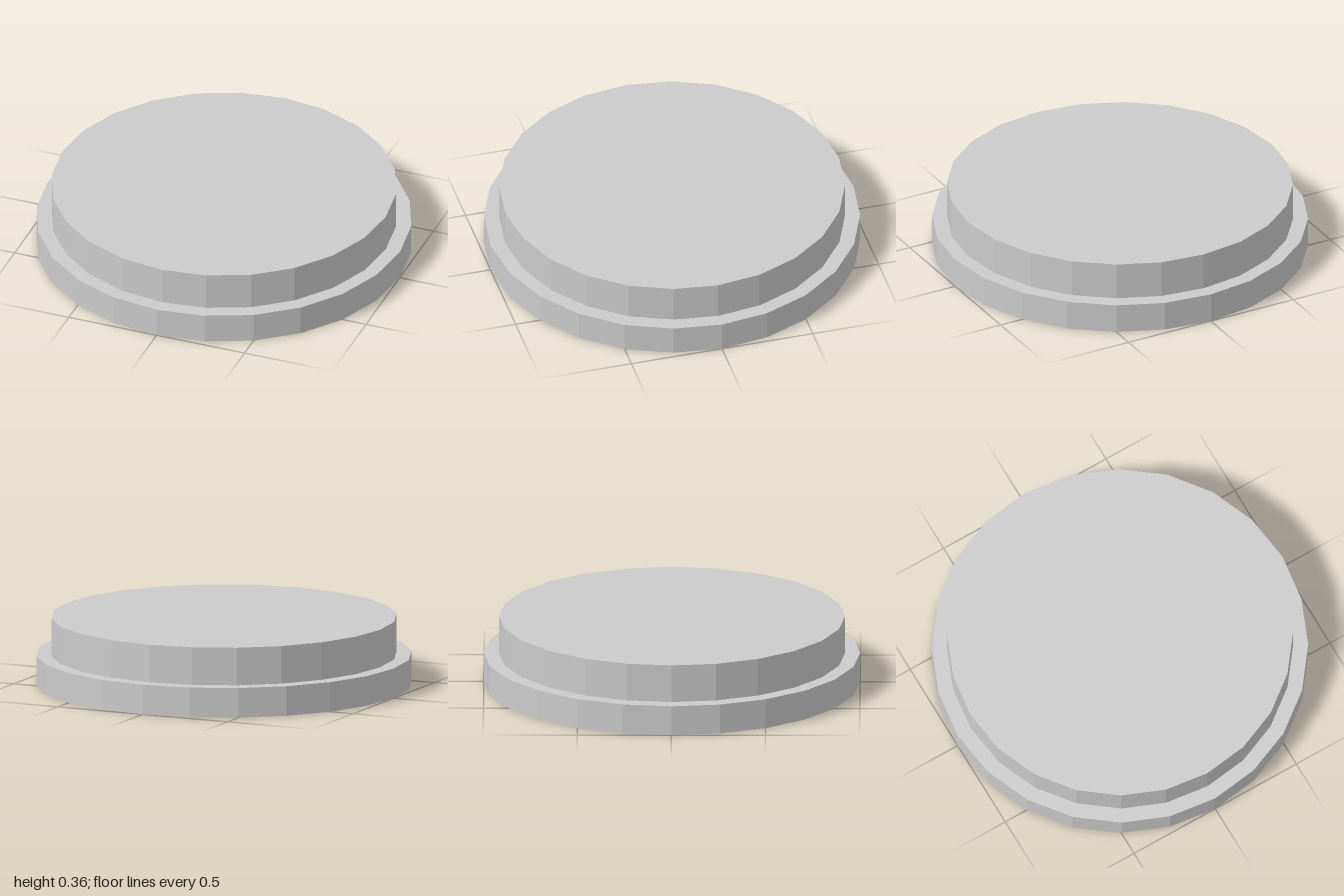
import * as THREE from 'three';

const SIDES = 24;

// Faceted disc standing on height y
function disc(name, radius, y, height, material) {
  const mesh = new THREE.Mesh(new THREE.CylinderGeometry(radius, radius, height, SIDES), material);
  mesh.name = name;
  mesh.position.y = y + height / 2;
  return mesh;
}

export function createModel() {
  const model = new THREE.Group();
  model.name = 'steppedDisc';
  const material = new THREE.MeshStandardMaterial({ color: 0xcccccc, flatShading: true });

  // Wide base with a narrower disc on top
  model.add(
    disc('base', 1, 0, 0.16, material),
    disc('upperDisc', 0.92, 0.16, 0.203, material)
  );
  return model;
}
